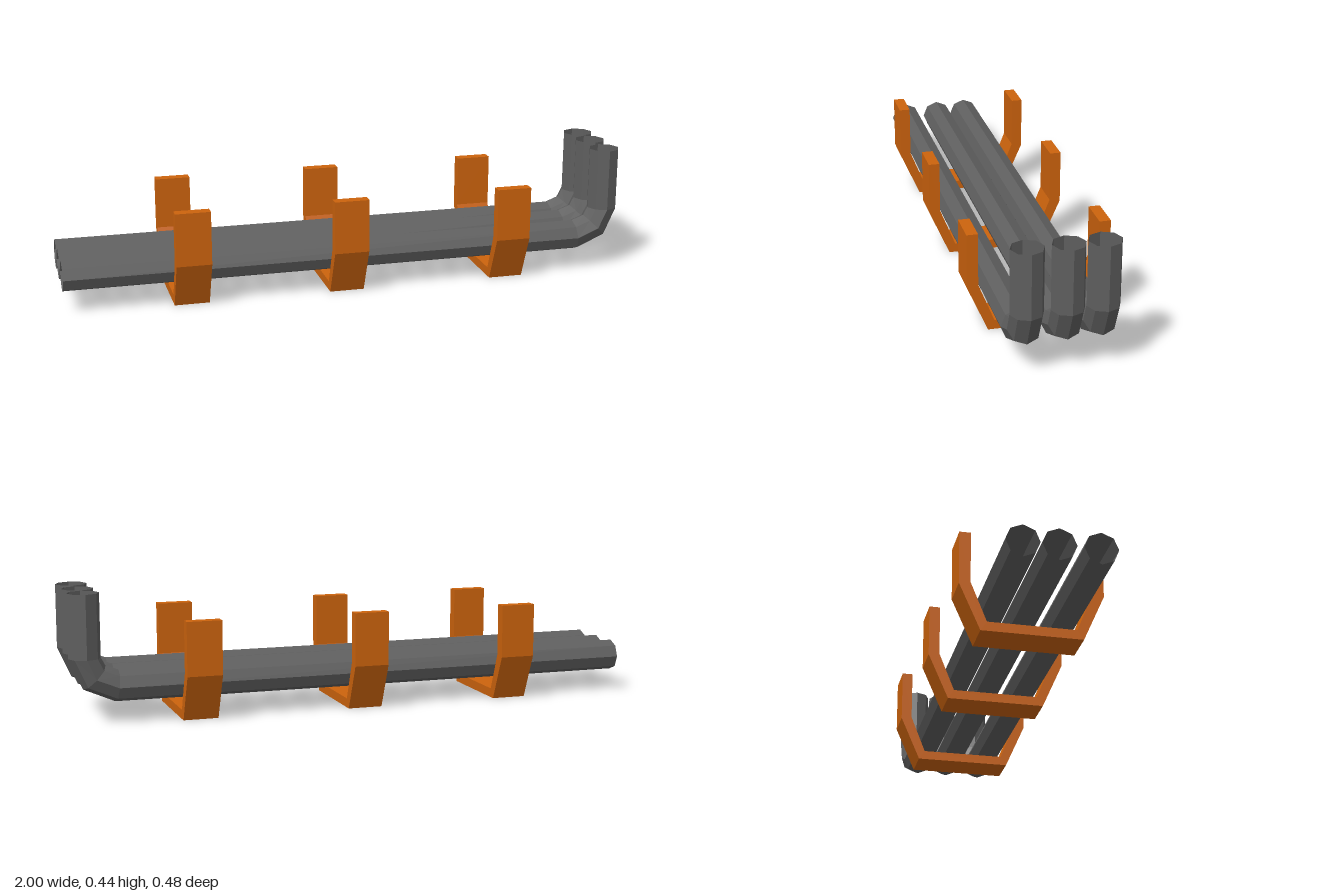
import * as THREE from 'three';

const SIDES = 8, RADIUS = 0.054;

// Open octagonal pipe swept along rings given as [x, y, tilt]
function pipeGeometry(rings) {
  const pos = [], index = [];
  for (const [x, y, tilt] of rings) {
    for (let j = 0; j < SIDES; j++) {
      const t = (j / SIDES) * Math.PI * 2;
      const u = RADIUS * Math.cos(t);
      pos.push(x - Math.sin(tilt) * u, y + Math.cos(tilt) * u, RADIUS * Math.sin(t));
    }
  }
  for (let i = 0; i < rings.length - 1; i++) {
    for (let j = 0; j < SIDES; j++) {
      const a = i * SIDES + j, b = i * SIDES + (j + 1) % SIDES;
      index.push(a, b, a + SIDES, b, b + SIDES, a + SIDES);
    }
  }
  const g = new THREE.BufferGeometry();
  g.setAttribute('position', new THREE.Float32BufferAttribute(pos, 3));
  g.setIndex(index);
  g.computeVertexNormals();
  return g;
}

// U-shaped cradle profile, extruded along x
function bracketGeometry(width) {
  const half = [[0.168, 0], [0.238, 0.16], [0.238, 0.345], [0.2, 0.345], [0.2, 0.166], [0.147, 0.032]];
  const mirrored = half.map(([z, y]) => [-z, y]).reverse();
  const shape = new THREE.Shape([...half, ...mirrored].map(([z, y]) => new THREE.Vector2(z, y)));
  const g = new THREE.ExtrudeGeometry(shape, { depth: width, bevelEnabled: false });
  g.translate(0, 0, -width / 2);
  g.rotateY(Math.PI / 2);
  return g;
}

export function createModel() {
  const group = new THREE.Group();
  const steel = new THREE.MeshStandardMaterial({ color: 0x5f5f5f, flatShading: true, side: THREE.DoubleSide });
  steel.name = 'dark grey pipe';
  const orange = new THREE.MeshStandardMaterial({ color: 0xcc630d, flatShading: true });
  orange.name = 'orange bracket';

  // Three pipes, each turning up at the +x end
  const pipe = pipeGeometry([
    [-1, 0.124, 0], [0.84, 0.124, 0.12], [0.915, 0.155, Math.PI / 4],
    [0.946, 0.222, Math.PI / 2], [0.946, 0.44, Math.PI / 2],
  ]);
  [0.125, -0.004, -0.117].forEach((z, i) => {
    const mesh = new THREE.Mesh(pipe, steel);
    mesh.name = `pipe${i + 1}`;
    mesh.position.z = z;
    group.add(mesh);
  });

  // Three brackets holding the pipes
  const bracket = bracketGeometry(0.121);
  [-0.567, -0.02, 0.567].forEach((x, i) => {
    const mesh = new THREE.Mesh(bracket, orange);
    mesh.name = `bracket${i + 1}`;
    mesh.position.x = x;
    group.add(mesh);
  });
  return group;
}
